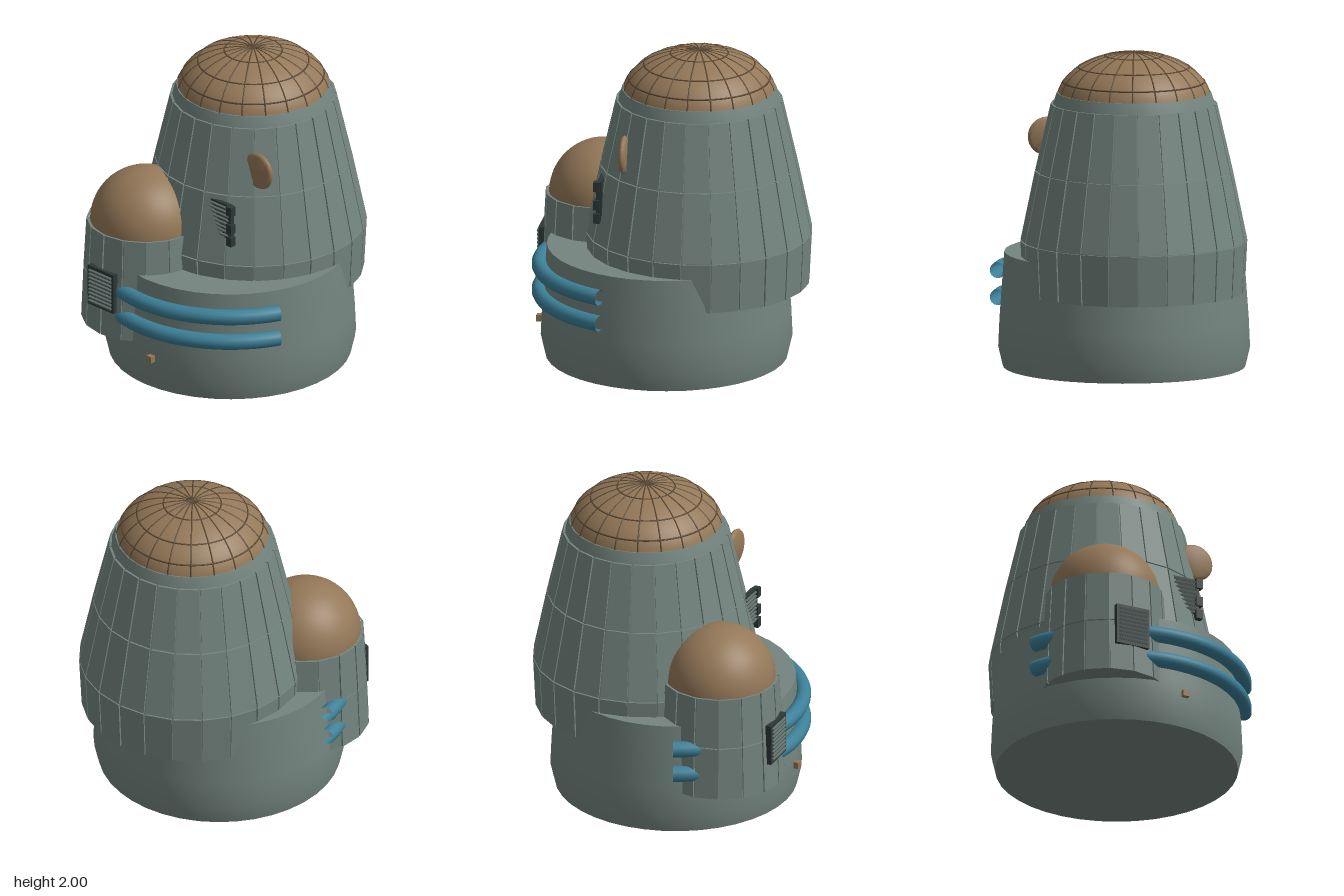
import * as THREE from 'three';
import { toCreasedNormals } from 'three/addons/utils/BufferGeometryUtils.js';

const mat = (name, color, extra = {}) => {
  const m = new THREE.MeshStandardMaterial({ color, ...extra });
  m.name = name;
  return m;
};

export function createModel() {
  const hull = mat('greyGreenHull', 0x74857f);
  const tan = mat('tanDome', 0x947858);
  const rib = mat('darkBrownRib', 0x594731);
  const blue = mat('bluePipe', 0x3c8098, { side: THREE.DoubleSide });
  const dark = mat('darkVent', 0x2d3837);
  const slat = mat('greySlat', 0x5f6d69);

  const model = new THREE.Group();
  model.name = 'domedTower';

  const add = (parent, name, geo, material, x = 0, y = 0, z = 0) => {
    const m = new THREE.Mesh(geo, material);
    m.name = name;
    m.position.set(x, y, z);
    parent.add(m);
    return m;
  };
  const group = (name, x = 0, y = 0, z = 0) => {
    const g = new THREE.Group();
    g.name = name;
    g.position.set(x, y, z);
    model.add(g);
    return g;
  };
  const lathe = (pts, n, crease = 0.5) =>
    toCreasedNormals(new THREE.LatheGeometry(pts.map(p => new THREE.Vector2(...p)), n), crease);

  // One ring of flat tapered plates, separated by narrow gaps
  function panelRow(y0, r0, y1, r1, n, gap = 0.005, thick = 0.014) {
    const pos = [];
    const quad = (a, b, c, d) => [a, b, c, a, c, d].forEach(v => pos.push(...v));
    for (let i = 0; i < n; i++) {
      const a = (i / n) * Math.PI * 2, b = ((i + 1) / n) * Math.PI * 2;
      const pt = (t, r, y, s) => {
        const q = t + s * gap / r;
        return [Math.sin(q) * r, y, Math.cos(q) * r];
      };
      const ring = d => [pt(a, r0 - d, y0, 1), pt(b, r0 - d, y0, -1), pt(b, r1 - d, y1, -1), pt(a, r1 - d, y1, 1)];
      const o = ring(0), k = ring(thick);
      quad(...o);
      for (let e = 0; e < 4; e++) {
        const f = (e + 1) % 4;
        quad(o[f], o[e], k[e], k[f]);
      }
    }
    const g = new THREE.BufferGeometry();
    g.setAttribute('position', new THREE.Float32BufferAttribute(pos, 3));
    g.computeVertexNormals();
    return g;
  }

  // Base drum
  add(model, 'baseDrum', lathe([[0, 0], [0.755, 0], [0.783, 0.12], [0.775, 0.3], [0.745, 0.72], [0, 0.72]], 40), hull, 0, 0, 0.03);

  // Upper tower: core, collar and three rows of plates
  const tower = group('tower', 0, 0, -0.175);
  add(tower, 'towerCore', lathe([[0, 0.505], [0.677, 0.505], [0.693, 0.82], [0.603, 1.26], [0.503, 1.68], [0.48, 1.75], [0, 1.75]], 24, 0.3), hull);
  const rows = [[0.5, 0.69, 0.818, 0.706], [0.826, 0.705, 1.256, 0.616], [1.264, 0.614, 1.68, 0.518]];
  rows.forEach((r, i) => add(tower, 'towerPlates' + (i + 1), panelRow(...r, 24), hull));

  // Ribbed roof dome, a squashed hemisphere
  const A = 0.478, H = 0.3, Y = 1.7;
  const arc = t => [A * Math.cos(t), Y + H * Math.sin(t)];
  const profile = Array.from({ length: 15 }, (_, i) => arc(0.13 + (Math.PI / 2 - 0.13) * i / 14));
  add(tower, 'roofDome', lathe(profile, 60, 1), tan);
  for (let i = 0; i < 10; i++) {
    const curve = new THREE.CatmullRomCurve3(Array.from({ length: 17 }, (_, k) => {
      const [x, y] = arc(0.13 + (Math.PI - 0.26) * k / 16);
      return new THREE.Vector3(x, y - 0.002, 0);
    }));
    const m = add(tower, 'roofRib', new THREE.TubeGeometry(curve, 32, 0.0055, 6), rib);
    m.rotation.y = i * Math.PI / 10;
  }
  for (const r of [0.44, 0.345, 0.18]) {
    const y = Y + H * Math.sqrt(1 - (r / A) ** 2) - 0.002;
    const m = add(tower, 'roofRing', new THREE.TorusGeometry(r, 0.0055, 6, 60), rib, 0, y, 0);
    m.rotation.x = Math.PI / 2;
  }

  // Side pod with plated wall and smooth dome
  const pod = group('sidePod', -0.305, 0, 0.47);
  add(pod, 'podCore', lathe([[0, 0.275], [0.386, 0.275], [0.356, 0.935], [0, 0.935]], 16, 0.3), hull);
  add(pod, 'podPlatesLower', panelRow(0.27, 0.4, 0.608, 0.386, 16), hull);
  add(pod, 'podPlatesUpper', panelRow(0.614, 0.386, 0.94, 0.368, 16), hull);
  add(pod, 'podDome', new THREE.SphereGeometry(0.345, 48, 20, 0, Math.PI * 2, 0, Math.PI / 2), tan, 0, 0.928, 0);

  // Louvred vent on the pod
  const podVent = group('podVent', -0.307, 0.578, 0.85);
  add(podVent, 'ventPlate', new THREE.BoxGeometry(0.225, 0.265, 0.036), dark);
  for (let i = 0; i < 9; i++) {
    const m = add(podVent, 'ventSlat', new THREE.BoxGeometry(0.19, 0.013, 0.018), slat, 0, -0.104 + i * 0.026, 0.021);
    m.rotation.x = 0.35;
  }

  // Louvred vent half sunk into the tower, with three brackets
  const towerVent = group('towerVent', 0.285, 1.11, 0.395);
  add(towerVent, 'ventPlate', new THREE.BoxGeometry(0.17, 0.23, 0.03), dark);
  for (let i = 0; i < 8; i++) {
    const m = add(towerVent, 'ventSlat', new THREE.BoxGeometry(0.155, 0.012, 0.016), slat, 0, -0.094 + i * 0.027, 0.018);
    m.rotation.x = 0.35;
  }
  add(towerVent, 'bracketRail', new THREE.BoxGeometry(0.025, 0.25, 0.03), dark, 0.083, -0.01, 0.004);
  for (const y of [0.085, -0.035, -0.122])
    add(towerVent, 'bracket', new THREE.BoxGeometry(0.045, 0.062, 0.04), dark, 0.092, y, 0.014);

  // Round tan fin on the tower
  const fin = add(model, 'roundFin',
    lathe([[0, -0.019], [0.1, -0.019], [0.113, -0.013], [0.12, 0], [0.113, 0.013], [0.1, 0.019], [0, 0.019]], 32, 1), tan, 0.445, 1.435, 0.23);
  fin.rotation.x = Math.PI / 2;

  // Two open pipes wrapped round the front of the drum
  const a0 = 0.4, a1 = Math.PI - 0.4;
  const path = new THREE.CatmullRomCurve3(Array.from({ length: 25 }, (_, i) => {
    const a = a0 + (a1 - a0) * i / 24;
    return new THREE.Vector3(0.79 * Math.cos(a), 0, 0.79 * Math.sin(a));
  }));
  for (const y of [0.585, 0.415])
    add(model, 'frontPipe', new THREE.TubeGeometry(path, 48, 0.05, 14), blue, 0, y, 0.03);

  // Small tan stud low on the front
  add(model, 'frontStud', new THREE.BoxGeometry(0.042, 0.042, 0.04), tan, 0.082, 0.215, 0.815);

  return model;
}
